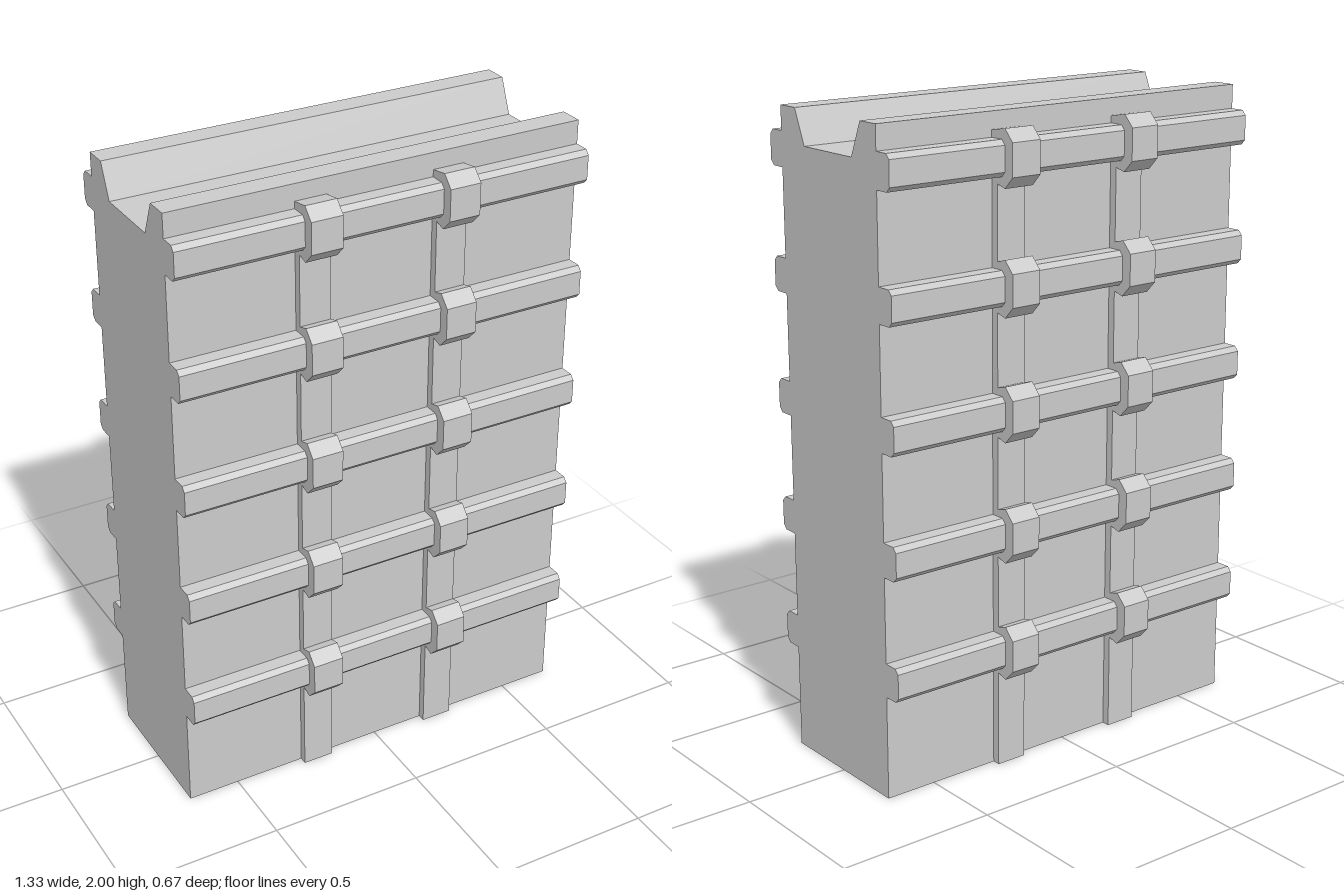
import * as THREE from 'three';

const WIDTH = 1.332;
const RIB_COUNT = 5;
const RIB_TOP = 1.873;
const RIB_STEP = 0.3735;
const material = new THREE.MeshStandardMaterial({ color: 0xcccccc, flatShading: true });

// Extrudes a [outward z, y] outline along x, centred on x = 0.
function extrudeAlongX(points, width) {
  const shape = new THREE.Shape(points.map(([z, y]) => new THREE.Vector2(z, y)));
  const geometry = new THREE.ExtrudeGeometry(shape, { depth: width, bevelEnabled: false });
  geometry.translate(0, 0, -width / 2);
  geometry.rotateY(-Math.PI / 2);
  return geometry;
}

function part(name, geometry, x = 0, y = 0) {
  const mesh = new THREE.Mesh(geometry, material);
  mesh.name = name;
  mesh.position.set(x, y, 0);
  return mesh;
}

export function createModel() {
  const model = new THREE.Group();
  model.name = 'ribbedWallPanel';

  // Slab with a tapered channel along its top
  model.add(part('wallBody', extrudeAlongX([
    [-0.238, 0], [0.238, 0], [0.238, 2], [0.163, 2],
    [0.118, 1.895], [-0.118, 1.895], [-0.163, 2], [-0.238, 2],
  ], WIDTH)));

  // Horizontal rib with chamfered outer edges
  const ribGeometry = extrudeAlongX([
    [0.22, -0.053], [0.284, -0.053], [0.298, -0.038],
    [0.298, 0.038], [0.284, 0.053], [0.22, 0.053],
  ], WIDTH);

  // Vertical strap that wraps over every rib and ends above the top one
  const strapOutline = [[0.22, 0], [0.263, 0]];
  for (let i = RIB_COUNT - 1; i >= 0; i--) {
    const y = RIB_TOP - i * RIB_STEP;
    strapOutline.push(
      [0.263, y - 0.075], [0.298, y - 0.085], [0.333, y - 0.049],
      [0.333, y + 0.049], [0.298, y + 0.085], [i ? 0.263 : 0.238, y + 0.075],
    );
  }
  strapOutline.push([0.22, RIB_TOP + 0.075]);
  const strapGeometry = extrudeAlongX(strapOutline, 0.1);

  // Same ribs and straps on both faces
  for (const [name, turn] of [['front', 0], ['back', Math.PI]]) {
    const face = new THREE.Group();
    face.name = `${name}Face`;
    face.rotation.y = turn;
    for (let i = 0; i < RIB_COUNT; i++) {
      face.add(part('rib', ribGeometry, 0, RIB_TOP - i * RIB_STEP));
    }
    for (const x of [-0.222, 0.222]) face.add(part('strap', strapGeometry, x));
    model.add(face);
  }
  return model;
}
